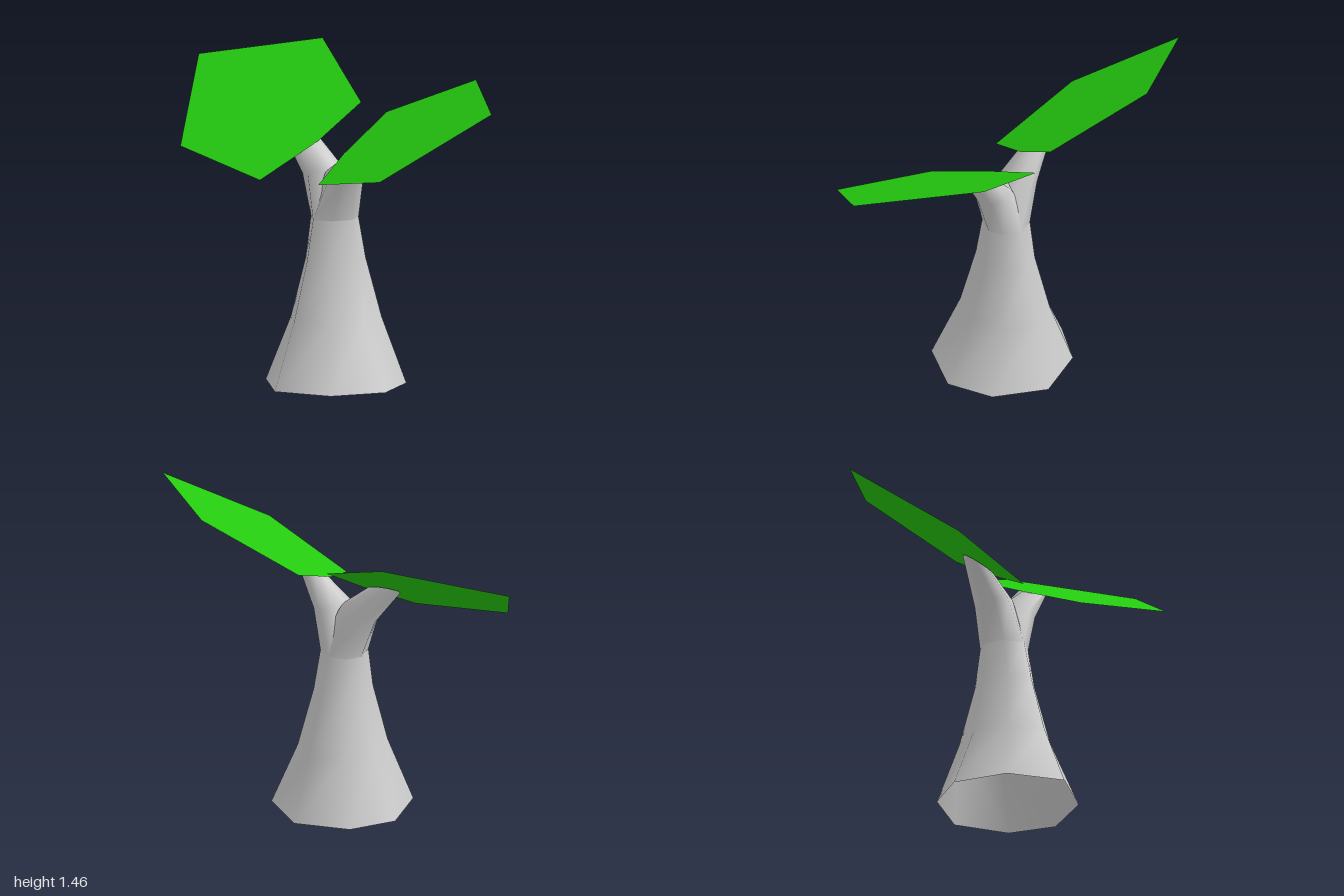
import * as THREE from 'three';

const SIDES = 8;

// A ring between its low-x and high-x points; front and back are depth
// amounts, slope tilts the ring about the x axis.
function ring(low, high, front, back, slope = 0, power = 1) {
  const pts = [];
  for (let j = 0; j < SIDES; j++) {
    const t = (j / SIDES) * Math.PI * 2;
    const k = (1 + Math.cos(t)) / 2;
    const s = Math.sin(t);
    const depth = Math.sign(s) * Math.abs(s) ** power * (s > 0 ? front : back);
    pts.push([
      low[0] + (high[0] - low[0]) * k,
      low[1] + (high[1] - low[1]) * k + depth * slope,
      low[2] + (high[2] - low[2]) * k + depth,
    ]);
  }
  return pts;
}

// Open smooth tube through a list of rings
function loft(rings) {
  const index = [];
  for (let i = 0; i < rings.length - 1; i++) {
    for (let j = 0; j < SIDES; j++) {
      const a = i * SIDES + j;
      const b = i * SIDES + ((j + 1) % SIDES);
      index.push(a, a + SIDES, b, b, a + SIDES, b + SIDES);
    }
  }
  const geo = new THREE.BufferGeometry();
  geo.setAttribute('position', new THREE.Float32BufferAttribute(rings.flat(2), 3));
  geo.setIndex(index);
  geo.computeVertexNormals();
  return geo;
}

// Flat leaf: outline given as [x, z], height from a tilted plane
function leaf(outline, height) {
  const pos = outline.flatMap(([x, z]) => [x, height(x, z), z]);
  const index = [];
  for (let i = 1; i < outline.length - 1; i++) index.push(0, i, i + 1);
  const geo = new THREE.BufferGeometry();
  geo.setAttribute('position', new THREE.Float32BufferAttribute(pos, 3));
  geo.setIndex(index);
  geo.computeVertexNormals();
  return geo;
}

export function createModel() {
  const bark = new THREE.MeshStandardMaterial({ color: 0xcccccc, side: THREE.DoubleSide });
  bark.name = 'paleGreyBark';
  const green = new THREE.MeshStandardMaterial({ color: 0x25cc10, side: THREE.DoubleSide });
  green.name = 'leafGreen';

  const group = new THREE.Group();
  const add = (name, geo, mat) => {
    const mesh = new THREE.Mesh(geo, mat);
    mesh.name = name;
    group.add(mesh);
  };

  // Flared trunk, open at the base
  const neck = ring([-0.105, 0.77, 0.02], [0.12, 0.77, 0.02], 0.14, 0.1, 0, 1.3);
  add('trunk', loft([
    ring([-0.31, 0, 0.02], [0.36, 0, 0.02], 0.38, 0.32, 0, 1.3),
    ring([-0.18, 0.3, 0.02], [0.21, 0.3, 0.02], 0.26, 0.23, 0, 1.3),
    ring([-0.115, 0.58, 0.02], [0.14, 0.58, 0.02], 0.18, 0.145, 0, 1.3),
    neck,
  ]), bark);

  // Planes of the two leaves
  const leftHeight = (x, z) => 1.093 + 0.265 * x - 0.514 * z;
  const rightHeight = (x, z) => 1.119 - 0.248 * x - 0.6415 * z;
  const onPlane = (h, x, z) => [x, h(x, z) - 0.003, z];

  // Forked branches, both growing out of the neck and cut by the leaves
  add('leftBranch', loft([
    neck,
    ring([0.0, 1.0, 0.04], [0.165, 0.95, 0.04], 0.085, 0.095),
    ring(onPlane(leftHeight, 0.13, 0.03), onPlane(leftHeight, 0.275, 0.02), 0.06, 0.055, -0.514),
  ]), bark);
  add('rightBranch', loft([
    neck,
    ring([-0.16, 0.95, 0.05], [0.02, 1.0, 0.04], 0.085, 0.095),
    ring(onPlane(rightHeight, -0.285, 0.07), onPlane(rightHeight, -0.12, 0.07), 0.06, 0.06, -0.6415),
  ]), bark);

  // Large flat leaves
  add('leftLeaf', leaf([
    [0.05, -0.24], [0.12, 0.07], [0.23, 0.31], [0.74, 0.36], [1.0, -0.09], [0.49, -0.41],
  ], leftHeight), green);
  add('rightLeaf', leaf([
    [-0.075, -0.19], [-0.53, -0.33], [-1.0, 0.02], [-0.67, 0.395], [-0.17, 0.33], [-0.09, 0.05],
  ], rightHeight), green);

  return group;
}
